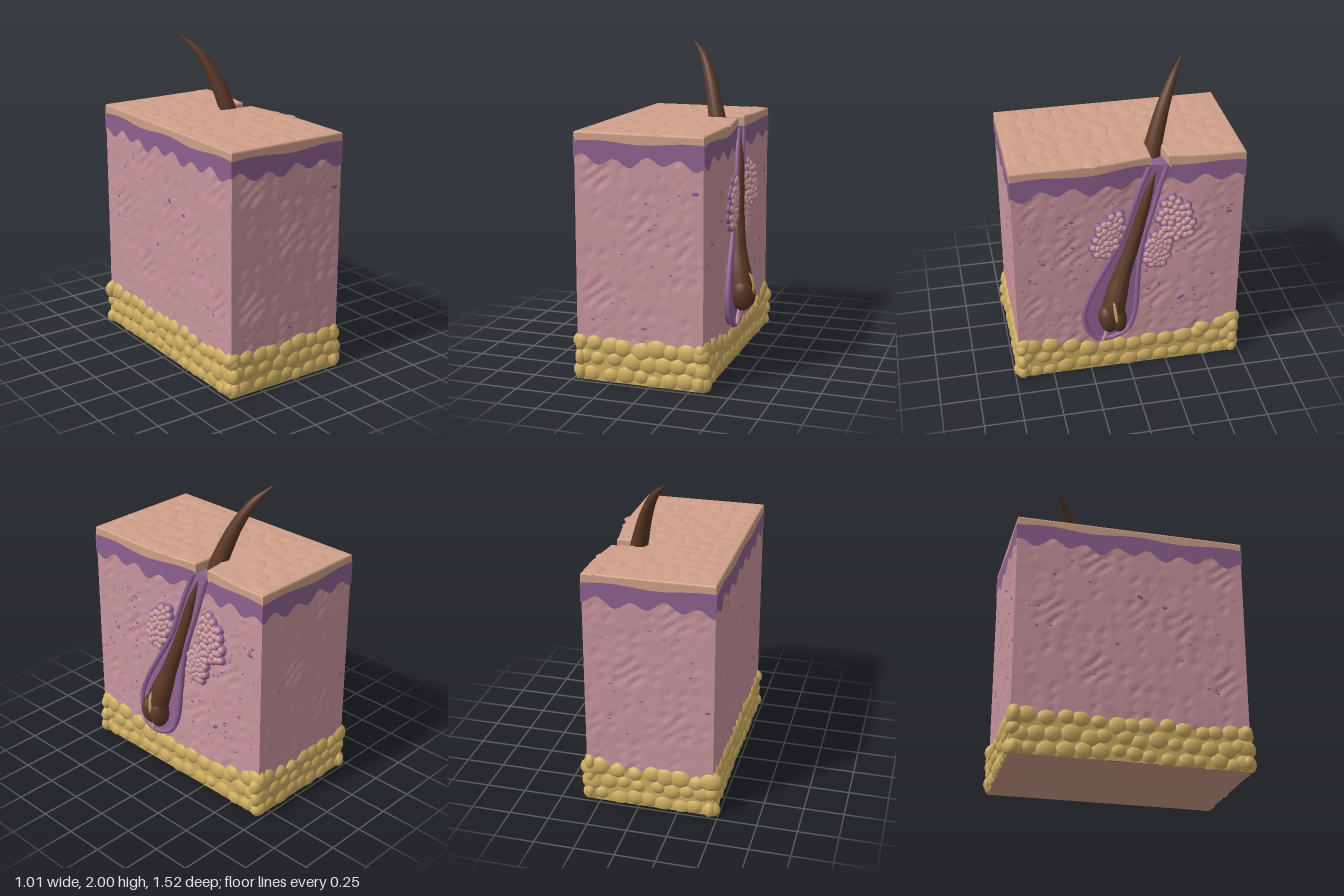
import * as THREE from 'three';
import { mergeGeometries } from 'three/addons/utils/BufferGeometryUtils.js';

const V = (x, y, z) => new THREE.Vector3(x, y, z);
const material = (name, color, side = THREE.FrontSide) => {
  const m = new THREE.MeshStandardMaterial({ color, side });
  m.name = name;
  return m;
};
let seed = 7;
const rnd = (a = 0, b = 1) => {
  seed = (seed * 16807) % 2147483647;
  return a + (b - a) * seed / 2147483647;
};

// Block limits; the cut face bows inwards beside the hair towards the top
const X0 = -0.468, X1 = 0.335, Z = 0.72;
const cutX = (z, y) => X1 - 0.045 * Math.exp(-(((z + 0.17) / 0.22) ** 2)) * THREE.MathUtils.clamp(y - 0.3, 0, 1);

// The four walls: outward direction, length, point at fraction t and height y
const walls = [
  { n: V(0, 0, 1), len: X1 - X0, at: (t, y) => V(X0 + (X1 - X0) * t, y, Z) },
  { n: V(1, 0, 0), len: 2 * Z, at: (t, y) => V(cutX(Z - 2 * Z * t, y), y, Z - 2 * Z * t), cut: true },
  { n: V(0, 0, -1), len: X1 - X0, at: (t, y) => V(X1 - (X1 - X0) * t, y, -Z) },
  { n: V(-1, 0, 0), len: 2 * Z, at: (t, y) => V(X0, y, -Z + 2 * Z * t) },
];

// Walls between two height curves, pushed out by an offset and dented by a rule
function layer(low, high, offset, rows, dent) {
  return mergeGeometries(walls.map((w, k) => {
    const cols = Math.round(w.len * 50), pos = [], idx = [];
    for (let j = 0; j <= rows; j++) for (let i = 0; i <= cols; i++) {
      const t = i / cols, u = t * w.len + k * 1.7;
      const y = THREE.MathUtils.lerp(low(u, t, w), high(u, t, w), j / rows);
      const fade = Math.min(1, 12 * t, 12 * (1 - t));
      const bump = Math.sin(31 * u + 3 * Math.sin(17 * y)) * Math.sin(43 * y + 2 * Math.sin(23 * u));
      const p = w.at(t, y).addScaledVector(w.n, offset - dent * fade * Math.max(0, bump) ** 2);
      // carry the offset round the corners
      if (i === 0 || i === cols) {
        if (w.n.x) p.z += offset * Math.sign(p.z);
        else p.x += offset * Math.sign(p.x);
      }
      pos.push(p.x, p.y, p.z);
      if (i < cols && j < rows) {
        const a = j * (cols + 1) + i, b = a + cols + 1;
        idx.push(a, a + 1, b + 1, a, b + 1, b);
      }
    }
    const g = new THREE.BufferGeometry();
    g.setAttribute('position', new THREE.Float32BufferAttribute(pos, 3));
    g.setIndex(idx);
    g.computeVertexNormals();
    return g;
  }));
}

// Plan of the block, optionally with the notch around the hair
function plan(y, notch) {
  const pts = [[X0, Z], [X1, Z]];
  for (let z = 0.66; z > -0.7; z -= 0.06) {
    if (notch && z < -0.13 && z > -0.26) continue;
    if (notch && z < -0.26 && z > -0.32) {
      pts.push([0.292, -0.14], [0.1, -0.14], [0.06, -0.16], [0.08, -0.19], [0.19, -0.235], [0.3, -0.25]);
    }
    pts.push([cutX(z, y), z]);
  }
  pts.push([X1, -Z], [X0, -Z]);
  return new THREE.Shape(pts.map(([x, z]) => new THREE.Vector2(x, -z)));
}

// Many squashed balls in one geometry, cut flat at the ground: [position, scale, tilt about x]
function blobs(list, seg) {
  return mergeGeometries(list.map(([p, s, tilt = 0]) => {
    const g = new THREE.SphereGeometry(1, seg, Math.ceil(seg * 0.7));
    g.scale(s.x, s.y, s.z).rotateX(tilt).translate(p.x, p.y, p.z);
    const a = g.attributes.position;
    for (let i = 0; i < a.count; i++) a.setY(i, Math.max(0.004, a.getY(i)));
    return g;
  }));
}

// Tube along points whose radius follows a list
function taperedTube(points, radii) {
  const n = 48, curve = new THREE.CatmullRomCurve3(points);
  const g = new THREE.TubeGeometry(curve, n, 1, 18), a = g.attributes.position;
  for (let i = 0; i < a.count; i++) {
    const t = Math.floor(i / 19) / n, f = t * (radii.length - 1), k = Math.min(radii.length - 2, Math.floor(f));
    const c = curve.getPointAt(t), p = V().fromBufferAttribute(a, i).sub(c);
    p.multiplyScalar(THREE.MathUtils.lerp(radii[k], radii[k + 1], f - k)).add(c);
    a.setXYZ(i, p.x, p.y, p.z);
  }
  g.computeVertexNormals();
  return g;
}

export function createModel() {
  seed = 7;
  const model = new THREE.Group();
  const skin = material('skin', 0xd0a08a);
  const purple = material('purple tissue', 0x8f6190, THREE.DoubleSide);
  const pink = material('pink tissue', 0xc9959e);
  const yellow = material('yellow fat', 0xcfae62);
  const brown = material('brown hair', 0x5a3826);
  const add = (name, geometry, mat) => {
    const m = new THREE.Mesh(geometry, mat);
    m.name = name;
    model.add(m);
  };

  // Tissue layers
  const fatTop = (t, w) => (w.cut ? 0.2 + 0.11 * (2 * t - 1) ** 2 : 0.27);
  add('dermis', layer(() => 0.004, () => 1.42, 0, 56, 0.011), pink);
  add('lowerEpidermis', layer(
    (u) => 1.365 + 0.026 * Math.sin(u * 31) + 0.012 * Math.sin(u * 13 + 1),
    (u) => 1.478 + 0.009 * Math.sin(u * 11), 0.005, 4, 0), purple);
  add('notchFloor', new THREE.ShapeGeometry(plan(1.47, false)).rotateX(-Math.PI / 2).translate(0, 1.468, 0), purple);
  add('skinSurface', new THREE.ExtrudeGeometry(plan(1.5, true), {
    depth: 0.065, bevelThickness: 0.012, bevelSize: 0.012, bevelOffset: -0.01, bevelSegments: 3,
  }).rotateX(-Math.PI / 2).translate(0, 1.458, 0), skin);
  add('underside', new THREE.ShapeGeometry(plan(0, false)).rotateX(Math.PI / 2), skin);

  // Gentle swellings of the skin
  const swellings = [];
  for (let x = -0.38; x < 0.28; x += 0.105) for (let z = -0.63; z < 0.66; z += 0.105) {
    const p = V(x + rnd(-0.03, 0.03), 1.53, z + rnd(-0.03, 0.03));
    if (p.x > -0.06 && Math.abs(p.z + 0.19) < 0.16) continue;
    swellings.push([p, V(rnd(0.05, 0.08), rnd(0.009, 0.013), rnd(0.05, 0.075))]);
  }
  add('skinSwellings', blobs(swellings, 12), skin);

  // Fat layer with bulging cells
  add('fatLayer', layer(() => 0.004, (u, t, w) => fatTop(t, w) - 0.035, 0.006, 2, 0), yellow);
  const cells = [];
  for (const w of walls) {
    const n = Math.round(w.len / 0.105);
    for (let i = 0; i <= n; i++) {
      const top = fatTop(i / n, w), rows = Math.round(top / 0.1);
      for (let j = 0; j < rows; j++) {
        const t = THREE.MathUtils.clamp((i + (j % 2) * 0.5 + rnd(-0.2, 0.2)) / n, 0.025, 0.975);
        const r = rnd(0.055, 0.078), y = 0.045 + (top - 0.09) * j / (rows - 1) + rnd(-0.015, 0.02);
        const p = w.at(t, y).addScaledVector(w.n, -0.02);
        cells.push([p, w.n.x ? V(0.043, r * 0.9, r) : V(r, r * 0.9, 0.043)]);
      }
    }
  }
  add('fatCells', blobs(cells, 14), yellow);

  // Pores in the dermis, densest on the cut face
  const pores = [];
  for (const w of walls) for (let i = 0; i < (w.cut ? 130 : 22); i++) {
    const p = w.at(rnd(0.03, 0.97), rnd(0.36, 1.31)), r = rnd(0.005, 0.012) * (rnd() > 0.92 ? 2.3 : 1);
    pores.push([p, w.n.x ? V(0.003, r * 0.55, r) : V(r, r * 0.5, 0.003), w.n.x ? rnd(-0.6, 0.6) : 0]);
  }
  add('pores', blobs(pores, 7), purple);

  // Follicle sheath: a tilted plate with a raised rim, outlined as [-z, y]
  const outline = [[0.13, 1.47], [0.08, 1.35], [0.02, 1.18], [-0.04, 1], [-0.15, 0.8], [-0.25, 0.61], [-0.295, 0.46],
    [-0.27, 0.34], [-0.2, 0.27], [-0.1, 0.275], [-0.01, 0.33], [0.035, 0.45], [0.05, 0.62], [0.065, 0.82],
    [0.1, 1], [0.16, 1.2], [0.2, 1.35], [0.24, 1.47]];
  const slope = (y) => 0.3 + 0.075 * (1.45 - y) / 1.2;
  const rim = new THREE.CatmullRomCurve3(outline.map(([u, y]) => V(slope(y), y, -u)));
  const plate = new THREE.ExtrudeGeometry(
    new THREE.Shape(rim.getPoints(70).map((p) => new THREE.Vector2(-p.z, p.y))),
    { depth: 0.1, bevelEnabled: false }).rotateY(Math.PI / 2);
  const pp = plate.attributes.position;
  for (let i = 0; i < pp.count; i++) pp.setX(i, pp.getX(i) - 0.1 + slope(pp.getY(i)));
  plate.computeVertexNormals();
  add('follicleSheath', plate, purple);
  add('sheathRim', new THREE.TubeGeometry(rim, 90, 0.017, 8), purple);
  add('papillaStem', taperedTube([V(0.38, 0.25, 0.2), V(0.385, 0.28, 0.17), V(0.39, 0.36, 0.15)], [0.008, 0.014, 0.01]), pink);

  // Glands: pink grains on a purple bed, [-z, y, half width, half height, tilt]
  for (const [u, y, a, b, tilt] of [[-0.13, 1.03, 0.1, 0.19, -0.35], [0.3, 1.09, 0.125, 0.18, 0.3], [0.185, 0.88, 0.095, 0.145, -0.1]]) {
    const bed = [], grains = [];
    for (let i = 0; i < 34; i++) {
      const r = Math.sqrt((i + 0.5) / 34) * 0.86, q = i * 2.39996;
      const du = r * a * Math.cos(q), dv = r * b * Math.sin(q);
      const z = -(u + du * Math.cos(tilt) - dv * Math.sin(tilt)), py = y + du * Math.sin(tilt) + dv * Math.cos(tilt);
      const x = cutX(z, py) + 0.012 * (1 - r * r);
      bed.push([V(x, py, z), V(0.022, 0.035, 0.035)]);
      grains.push([V(x + 0.012, py, z), V(0.021, 0.024, 0.024)]);
    }
    add('glandBed', blobs(bed, 9), purple);
    add('glandGrains', blobs(grains, 10), pink);
  }

  // Hair: the shaft above the skin, the root on the cut face and its two-lobed bulb
  add('hairShaft', taperedTube(
    [V(0.165, 1.42, -0.165), V(0.135, 1.53, -0.19), V(0.07, 1.75, -0.262), V(0, 1.9, -0.335), V(-0.085, 1.995, -0.405)],
    [0.058, 0.054, 0.046, 0.037, 0.026, 0.004]), brown);
  add('hairRoot', taperedTube(
    [V(0.295, 1.43, -0.165), V(0.305, 1.3, -0.125), V(0.32, 1, -0.04), V(0.355, 0.7, 0.06), V(0.395, 0.5, 0.115), V(0.405, 0.38, 0.125)],
    [0.006, 0.026, 0.036, 0.042, 0.046, 0.05, 0.056, 0.07, 0.076, 0.03]), brown);
  add('hairBulb', blobs([
    [V(0.408, 0.45, 0.15), V(0.075, 0.1, 0.06), 0.2],
    [V(0.408, 0.445, 0.085), V(0.072, 0.1, 0.055), 0.1]], 24), brown);
  add('bulbCore', blobs([[V(0.435, 0.5, 0.108), V(0.046, 0.1, 0.015), 0.12]], 16), yellow);
  return model;
}
